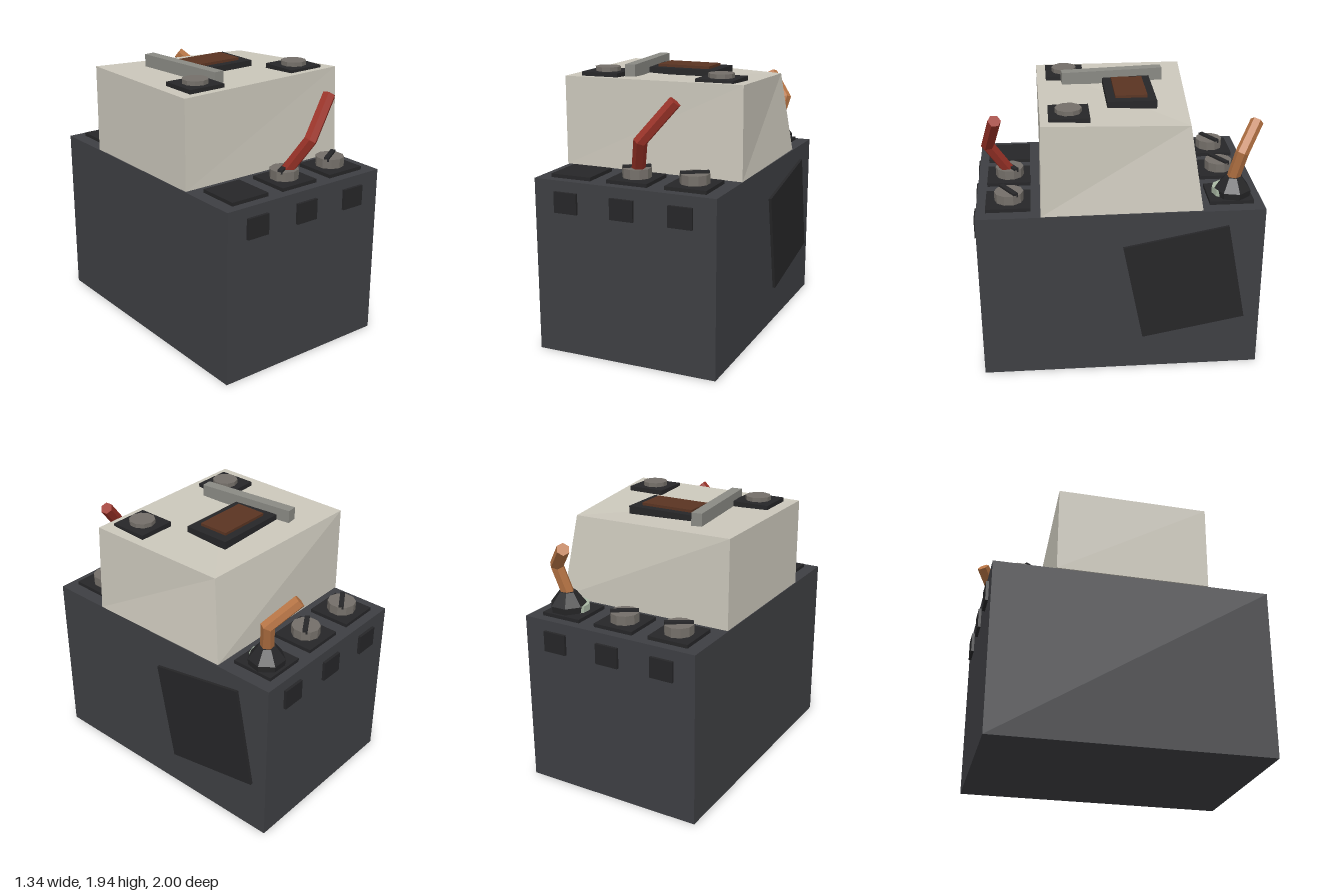
import * as THREE from 'three';

const paint = (color) => new THREE.MeshStandardMaterial({ color, flatShading: true });

export function createModel() {
  const root = new THREE.Group();
  const body = paint(0x3e3f43), dark = paint(0x262628), beige = paint(0xcbc7bb);
  const steel = paint(0x746f69), grey = paint(0x8a8a84), brown = paint(0x5a3422);
  const red = paint(0x9c3328), copper = paint(0xb87545), pale = paint(0xa9b8a4);

  const add = (name, geometry, material, x, y, z) => {
    const mesh = new THREE.Mesh(geometry, material);
    mesh.name = name;
    mesh.position.set(x, y, z);
    root.add(mesh);
    return mesh;
  };
  // Box given by its limits on each axis
  const box = (name, material, x0, x1, y0, y1, z0, z1) =>
    add(name, new THREE.BoxGeometry(x1 - x0, y1 - y0, z1 - z0), material,
      (x0 + x1) / 2, (y0 + y1) / 2, (z0 + z1) / 2);

  // Main housing and tilted side plate
  box('housing', body, -0.67, 0.65, 0, 1.23, -0.98, 0.98);
  const plate = box('sidePlate', dark, 0.64, 0.67, 0.322, 1.058, -0.805, -0.07);
  plate.rotation.x = 0.19;

  // Upper block: a box with its top corners pulled out of square
  const block = new THREE.BoxGeometry(1, 1, 1);
  const corners = {
    '-1,-1,-1': [-0.67, 1.235, -0.545], '1,-1,-1': [0.645, 1.235, -0.55],
    '-1,-1,1': [-0.67, 1.235, 0.54], '1,-1,1': [0.655, 1.235, 0.545],
    '-1,1,-1': [-0.67, 1.86, -0.54], '1,1,-1': [0.57, 1.82, -0.46],
    '-1,1,1': [-0.67, 1.86, 0.54], '1,1,1': [0.645, 1.872, 0.525],
  };
  const p = block.attributes.position;
  for (let i = 0; i < p.count; i++) {
    const key = [p.getX(i), p.getY(i), p.getZ(i)].map(Math.sign).join();
    p.setXYZ(i, ...corners[key]);
  }
  block.computeVertexNormals();
  add('upperBlock', block, beige, 0, 0, 0);

  // Screw head with an optional raised slot strip
  const screw = (x, y, z, r, h, slotted, material = steel) => {
    add('screwHead', new THREE.CylinderGeometry(r, r, h, 10), material, x, y + h / 2, z);
    if (!slotted) return;
    const slot = add('screwSlot', new THREE.BoxGeometry(r * 1.9, 0.03, 0.035), dark, x, y + h, z);
    slot.rotation.y = 0.56;
  };

  // Terminal rows front and back, with a small tab below each terminal
  for (const x of [-0.43, -0.013, 0.405]) {
    for (const side of [-1, 1]) {
      const z = side * 0.762;
      box('terminalPad', dark, x - 0.148, x + 0.148, 1.22, 1.255, z - 0.152, z + 0.152);
      const z0 = side * 0.985;
      box('tab', dark, x - 0.085, x + 0.085, 1.01, 1.155, z0 - 0.015, z0 + 0.015);
    }
  }
  for (const x of [-0.43, -0.013]) screw(x, 1.25, -0.765, 0.1, 0.07, true);
  for (const x of [-0.013, 0.405]) screw(x, 1.25, 0.755, 0.1, 0.07, true);
  screw(0.405, 1.25, -0.755, 0.11, 0.05, false, pale);

  // Fittings on top of the upper block
  for (const x of [-0.44, 0.417]) {
    box('topPad', dark, x - 0.137, x + 0.137, 1.85, 1.886, 0.2, 0.472);
    screw(x, 1.88, 0.338, 0.09, 0.036, false);
  }
  box('windowFrame', dark, -0.28, 0.257, 1.83, 1.886, -0.272, 0.068);
  box('window', brown, -0.208, 0.187, 1.87, 1.905, -0.213, 0.008);
  const bar = box('topBar', grey, -0.333, -0.257, 1.84, 1.938, -0.368, 0.362);
  bar.rotation.y = 0.1;

  // Rubber boot around the rear cable
  const bootProfile = [[0, 1.24], [0.12, 1.24], [0.128, 1.3], [0.06, 1.39], [0, 1.39]]
    .map(([r, y]) => new THREE.Vector2(r, y));
  add('cableBoot', new THREE.LatheGeometry(bootProfile, 7), dark, 0.433, 0, -0.785);

  // Bent cable: hexagonal rings, the middle one mitred at the bend
  const cable = (name, material, points, r) => {
    const pts = points.map((a) => new THREE.Vector3(...a));
    const d1 = pts[1].clone().sub(pts[0]).normalize();
    const d2 = pts[2].clone().sub(pts[1]).normalize();
    const mid = d1.clone().add(d2).normalize();
    const side = new THREE.Vector3().crossVectors(d1, d2).normalize();
    const verts = [], index = [], n = 6;
    [d1, mid, d2].forEach((dir, k) => {
      const up = new THREE.Vector3().crossVectors(dir, side);
      const stretch = k === 1 ? 1 / mid.dot(d1) : 1;
      for (let i = 0; i < n; i++) {
        const a = (i / n) * Math.PI * 2;
        const v = pts[k].clone().addScaledVector(side, r * Math.cos(a))
          .addScaledVector(up, r * stretch * Math.sin(a));
        verts.push(v.x, v.y, v.z);
      }
    });
    for (let k = 0; k < 2; k++) {
      for (let i = 0; i < n; i++) {
        const a = k * n + i, b = k * n + (i + 1) % n;
        index.push(a, a + n, b, b, a + n, b + n);
      }
    }
    for (let i = 1; i < n - 1; i++) {
      index.push(0, i, i + 1, 2 * n, 2 * n + i + 1, 2 * n + i);
    }
    const g = new THREE.BufferGeometry();
    g.setAttribute('position', new THREE.Float32BufferAttribute(verts, 3));
    g.setIndex(index);
    g.computeVertexNormals();
    const m = material.clone();
    m.side = THREE.DoubleSide;
    add(name, g, m, 0, 0, 0);
  };
  cable('frontCable', red, [[-0.01, 1.27, 0.745], [0.085, 1.53, 0.895], [0.3, 1.79, 0.83]], 0.046);
  cable('rearCable', copper, [[0.425, 1.35, -0.78], [0.485, 1.58, -0.825], [0.33, 1.745, -0.95]], 0.046);

  return root;
}
